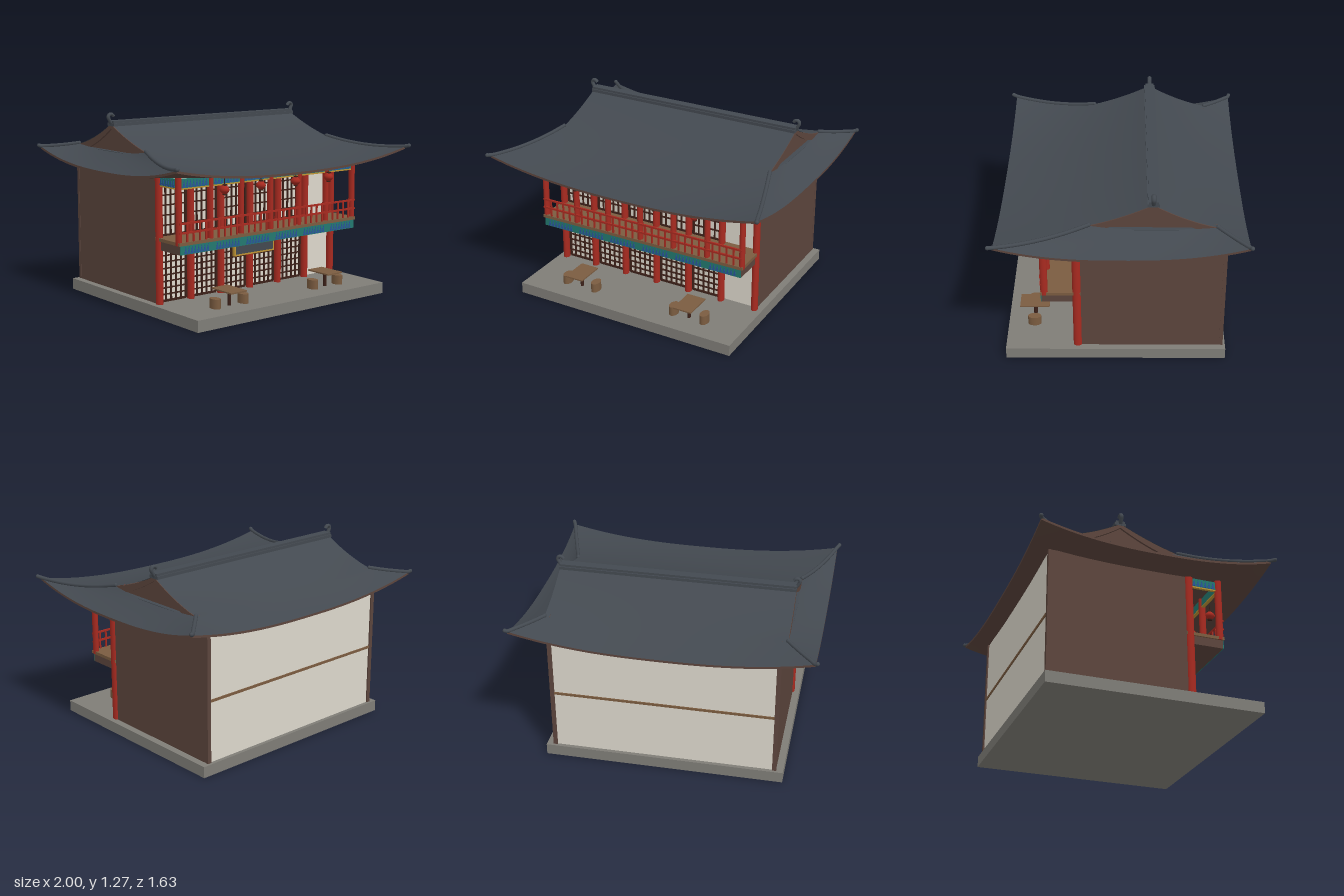
import * as THREE from 'three';
import { mergeGeometries } from 'three/addons/utils/BufferGeometryUtils.js';

const mat = (name, color, side = THREE.FrontSide) => {
  const m = new THREE.MeshStandardMaterial({ color, side });
  m.name = name;
  return m;
};

export function createModel() {
  const model = new THREE.Group();
  model.name = 'pavilion';
  const M = {
    cream: mat('cream paper', 0xddd8cc),
    red: mat('red lacquer', 0xa82a20),
    brown: mat('dark brown timber', 0x5c453d, THREE.DoubleSide),
    roof: mat('slate tile', 0x434950, THREE.DoubleSide),
    stone: mat('stone', 0x7f7d77),
    wood: mat('wood', 0x7b5c40),
    dark: mat('dark lattice', 0x3d2119),
    teal: mat('teal paint', 0x23796f),
    blue: mat('blue paint', 0x28569a),
    gold: mat('gold', 0xbf9434),
  };

  const add = (name, geo, material) => {
    const m = new THREE.Mesh(geo, material);
    m.name = name;
    model.add(m);
    return m;
  };
  // box from its min and max corners
  const box = (x0, x1, y0, y1, z0, z1) =>
    new THREE.BoxGeometry(x1 - x0, y1 - y0, z1 - z0).translate((x0 + x1) / 2, (y0 + y1) / 2, (z0 + z1) / 2);
  // upright post, narrower in x than in z
  const post = (x, z, y0, y1, rx, rz) =>
    new THREE.CylinderGeometry(1, 1, y1 - y0, 16).scale(rx, 1, rz).translate(x, (y0 + y1) / 2, z);
  // surface from a rule f(u, v) -> [x, y, z], u and v in 0..1
  const grid = (nu, nv, f) => {
    const g = new THREE.PlaneGeometry(1, 1, nu, nv);
    const p = g.attributes.position;
    for (let i = 0; i < p.count; i++) p.setXYZ(i, ...f(p.getX(i) + 0.5, 0.5 - p.getY(i)));
    g.computeVertexNormals();
    return g;
  };
  const mix = THREE.MathUtils.lerp;
  const bays = [-0.625, -0.375, -0.125, 0.125, 0.375, 0.625];
  const axes = [-0.75, -0.5, -0.25, 0, 0.25, 0.5, 0.75];

  // Base and walls
  add('stonePlatform', box(-0.805, 0.805, 0, 0.076, -0.7, 0.75), M.stone);
  add('wallCore', box(-0.748, 0.748, 0.076, 0.925, -0.675, 0.25), M.cream);
  for (const s of [-1, 1]) {
    const n = s > 0 ? 'left' : 'right';
    add(n + 'SideWall', box(-0.005, 0.005, 0.076, 0.93, -0.68, 0.25).translate(s * 0.753, 0, 0), M.brown);
    add(n + 'RearPost', box(-0.014, 0.014, 0.076, 0.93, -0.684, -0.66).translate(s * 0.746, 0, 0), M.brown);
  }
  add('rearBand', box(-0.735, 0.735, 0.483, 0.5, -0.682, -0.674), M.wood);

  // Columns
  add('frontColumns', mergeGeometries(axes.map(x => post(x, 0.275, 0.076, 0.925, 0.022, 0.028))), M.red);
  add('balconyColumns', mergeGeometries(axes.map(x => post(x, 0.485, 0.49, 0.925, 0.018, 0.024))), M.red);

  // Lattice doors and windows in the first five bays
  const bars = [];
  const lattice = (x, y0, y1, rows) => {
    const h = 0.1;
    for (let i = 0; i <= 5; i++) {
      const bx = x - h + (i * 2 * h) / 5, w = i % 5 ? 0.004 : 0.007;
      bars.push(box(bx - w, bx + w, y0, y1, 0.249, 0.262));
    }
    for (let i = 0; i <= rows; i++) {
      const by = mix(y0, y1, i / rows), w = i % rows ? 0.004 : 0.007;
      bars.push(box(x - h, x + h, by - w, by + w, 0.249, 0.26));
    }
  };
  for (const x of bays.slice(0, 5)) {
    lattice(x, 0.085, 0.425, 8);
    lattice(x, 0.515, 0.84, 5);
  }
  add('doorAndWindowLattice', mergeGeometries(bars), M.dark);

  // Balcony with railing
  add('balconyBeam', box(-0.755, 0.755, 0.432, 0.49, 0.25, 0.503), M.brown);
  add('balconyFloor', box(-0.765, 0.765, 0.49, 0.511, 0.25, 0.512), M.wood);
  const rails = [0.57, 0.63].map(y => box(-0.76, 0.76, y - 0.006, y + 0.006, 0.5, 0.512));
  for (const x of bays)
    for (let i = 0; i < 4; i++) {
      const px = x - 0.075 + i * 0.05;
      rails.push(box(px - 0.005, px + 0.005, 0.51, 0.63, 0.501, 0.511));
    }
  add('railing', mergeGeometries(rails), M.red);

  // Painted beams with a zigzag pattern
  const zigzag = (x0, x1, y0, y1, z, n) => {
    const out = [], w = (x1 - x0) / n;
    for (let i = 0; i < n; i++) {
      const a = x0 + i * w;
      const t = new THREE.Shape([[a, y0], [a + w * 0.8, y0], [a + w * 0.5, y1]].map(p => new THREE.Vector2(...p)));
      out.push(new THREE.ExtrudeGeometry(t, { depth: 0.003, bevelEnabled: false }).translate(0, 0, z));
    }
    return out;
  };
  const sideTurn = (g, s) => g.rotateY((s * Math.PI) / 2).translate(s * 0.75, 0, 0);
  const teal = [box(-0.75, 0.75, 0.85, 0.907, 0.475, 0.493), box(-0.755, 0.755, 0.432, 0.489, 0.503, 0.508)];
  const gold = [box(-0.75, 0.75, 0.841, 0.85, 0.474, 0.495)];
  const blue = [];
  for (const x of bays) {
    blue.push(...zigzag(x - 0.1, x + 0.1, 0.853, 0.9, 0.493, 8));
    blue.push(...zigzag(x - 0.1, x + 0.1, 0.437, 0.484, 0.508, 8));
  }
  for (const s of [-1, 1]) {
    teal.push(box(-0.008, 0.008, 0.85, 0.907, 0.29, 0.47).translate(s * 0.75, 0, 0));
    gold.push(box(-0.009, 0.009, 0.841, 0.85, 0.29, 0.47).translate(s * 0.75, 0, 0));
    const [a, b] = s > 0 ? [-0.46, -0.3] : [0.3, 0.46];
    blue.push(...zigzag(a, b, 0.853, 0.9, 0.008, 6).map(g => sideTurn(g, s)));
  }
  add('paintedBeams', mergeGeometries(teal), M.teal);
  add('beamGoldTrim', mergeGeometries(gold), M.gold);
  add('beamPattern', mergeGeometries(blue), M.blue);

  // Blank hanging board
  add('boardFrame', box(-0.175, 0.175, 0.318, 0.415, 0.305, 0.327), M.gold);
  add('boardFace', box(-0.163, 0.163, 0.33, 0.404, 0.325, 0.331), M.roof);

  // Lanterns under the eave
  const lanternProfile = [[0, -0.027], [0.015, -0.027], [0.031, -0.012], [0.038, 0], [0.031, 0.012], [0.015, 0.027], [0, 0.027]]
    .map(p => new THREE.Vector2(...p));
  for (const x of [-0.45, -0.15, 0.15, 0.45]) {
    add('lantern', new THREE.LatheGeometry(lanternProfile, 16).scale(0.8, 1, 1).translate(x, 0.825, 0.565), M.red);
    add('lanternFittings', mergeGeometries([
      post(x, 0.565, 0.791, 0.799, 0.013, 0.016), post(x, 0.565, 0.851, 0.859, 0.013, 0.016),
      post(x, 0.565, 0.859, 0.905, 0.002, 0.002)]), M.dark);
  }

  // Tables with stools
  for (const x of [-0.42, 0.42]) {
    add('tableTop', box(x - 0.066, x + 0.066, 0.174, 0.183, 0.475, 0.675), M.wood);
    add('tableLeg', post(x, 0.575, 0.076, 0.175, 0.01, 0.014), M.dark);
    for (const s of [-1, 1]) add('stool', post(x + s * 0.114, 0.575, 0.076, 0.139, 0.029, 0.045), M.wood);
  }

  // Roof rules: sagging slopes, eaves lifted at the corners
  const RZ = -0.21, ZF = 0.77, ZB = -0.8, GX = 0.785, EX = 0.975, LIFT = 0.09;
  const bend = v => Math.abs(v) ** 2.5;
  const slopeY = (t, a, u) => 1.2 - 0.28 * (a * t + (1 - a) * t * t) + LIFT * bend(u) * t * t;
  const halfWidth = z => GX + (EX - GX) * Math.max(0, (z - 0.19) / 0.58, (-0.61 - z) / 0.19);
  const slope = (zEnd, a, rows) => grid(32, rows, (u, t) => {
    const z = mix(RZ, zEnd, t), k = 2 * u - 1;
    return [k * halfWidth(z), slopeY(t, a, k), z];
  });
  add('frontRoofSlope', slope(ZF, 1.75, 22), M.roof);
  add('rearRoofSlope', slope(ZB, 1.25, 28), M.roof);

  // Point on the hip line at w = 0 (gable) .. 1 (corner)
  const hip = (w, front) => {
    const z = front ? 0.19 + 0.58 * w : -0.61 - 0.19 * w;
    const t = (z - RZ) / ((front ? ZF : ZB) - RZ);
    return [GX + (EX - GX) * w, slopeY(t, front ? 1.75 : 1.25, 1), z];
  };
  // Side view of the gable: both sagging edges and a flat foot
  const gablePoints = (inset) => {
    const pts = [];
    for (let i = -10; i <= 10; i++) {
      const z = i < 0 ? RZ + i * 0.04 : RZ + i * 0.04;
      const t = (z - RZ) / ((i < 0 ? ZB : ZF) - RZ);
      pts.push(new THREE.Vector2(-(RZ + (z - RZ) * (1 - inset * 2.5)), slopeY(t, i < 0 ? 1.25 : 1.75, 1) - 0.004 - inset * 0.4));
    }
    pts.push(new THREE.Vector2(-0.19, 1.01), new THREE.Vector2(0.61, 1.01));
    return pts;
  };

  for (const s of [-1, 1]) {
    const n = s > 0 ? 'left' : 'right';
    add(n + 'RoofSkirt', grid(36, 13, (u, w) => {
      const f = hip(w, true), b = hip(w, false), k = 2 * u - 1;
      const base = 1.02 - 0.13 * w + 0.03 * w * w;
      return [s * f[0], base + bend(k) * ((k > 0 ? f : b)[1] - base), mix(b[2], f[2], u)];
    }), M.roof);
    add(n + 'GableLedge', box(-0.03, 0.03, 1.0, 1.02, -0.6, 0.18).translate(s * 0.76, 0, 0), M.roof);

    // Recessed gable panel and the rake board around it
    const panel = new THREE.ExtrudeGeometry(new THREE.Shape(gablePoints(0)), { depth: 0.01, bevelEnabled: false });
    add(n + 'GablePanel', panel.rotateY(Math.PI / 2).translate(s * 0.755 - 0.005, 0, 0), M.brown);
    const outer = gablePoints(0).slice(0, 21), inner = gablePoints(0.07).slice(0, 21);
    const rake = new THREE.Shape([...outer, ...inner.reverse()]);
    const board = new THREE.ExtrudeGeometry(rake, { depth: 0.014, bevelEnabled: false });
    add(n + 'RakeBoard', board.rotateY(Math.PI / 2).translate(s * 0.779 - 0.007, 0, 0), M.brown);

    // Hip ridges ending in raised tips
    for (const front of [true, false]) {
      const pts = [0, 0.2, 0.4, 0.6, 0.8, 1].map(w => {
        const [x, y, z] = hip(w, front);
        return new THREE.Vector3(s * x, y + 0.004, z);
      });
      pts.push(new THREE.Vector3(s * 0.987, 1.02, front ? 0.795 : -0.805));
      add(n + (front ? 'Front' : 'Rear') + 'HipRidge',
        new THREE.TubeGeometry(new THREE.CatmullRomCurve3(pts), 24, 0.013, 8), M.roof);
      for (const p of [pts[0], pts[6]])
        add('hipRidgeEnd', new THREE.SphereGeometry(0.0135, 10, 8).translate(p.x, p.y, p.z), M.roof);
    }

    // Curled ridge finial
    const curl = [[0.78, 1.2], [0.796, 1.226], [0.804, 1.245], [0.795, 1.262], [0.776, 1.262], [0.764, 1.25]];
    add(n + 'RidgeFinial', new THREE.TubeGeometry(new THREE.CatmullRomCurve3(
      curl.map(p => new THREE.Vector3(s * p[0], p[1], RZ))), 20, 0.011, 8).translate(0, 0, -RZ).scale(1, 1, 1.3).translate(0, 0, RZ), M.roof);
  }
  add('mainRidge', mergeGeometries([
    box(-0.787, 0.787, 1.185, 1.205, RZ - 0.038, RZ + 0.038), box(-0.785, 0.785, 1.2, 1.22, RZ - 0.03, RZ + 0.03)]), M.roof);

  // Soffit and eave edge
  const soffitY = (u, v) => 0.905 + LIFT * bend(u) * bend(v);
  const eave = (u, v, dy) => [u * EX, soffitY(u, v) + dy, mix(ZB, ZF, (v + 1) / 2)];
  add('soffit', grid(32, 32, (u, v) => eave(2 * u - 1, 2 * v - 1, 0)), M.brown);
  const edges = [];
  for (const s of [-1, 1]) {
    edges.push(grid(32, 1, (u, v) => eave(2 * u - 1, s, 0.015 * v)));
    edges.push(grid(32, 1, (u, v) => eave(s, 2 * u - 1, 0.015 * v)));
  }
  add('eaveEdge', mergeGeometries(edges), M.brown);
  return model;
}
